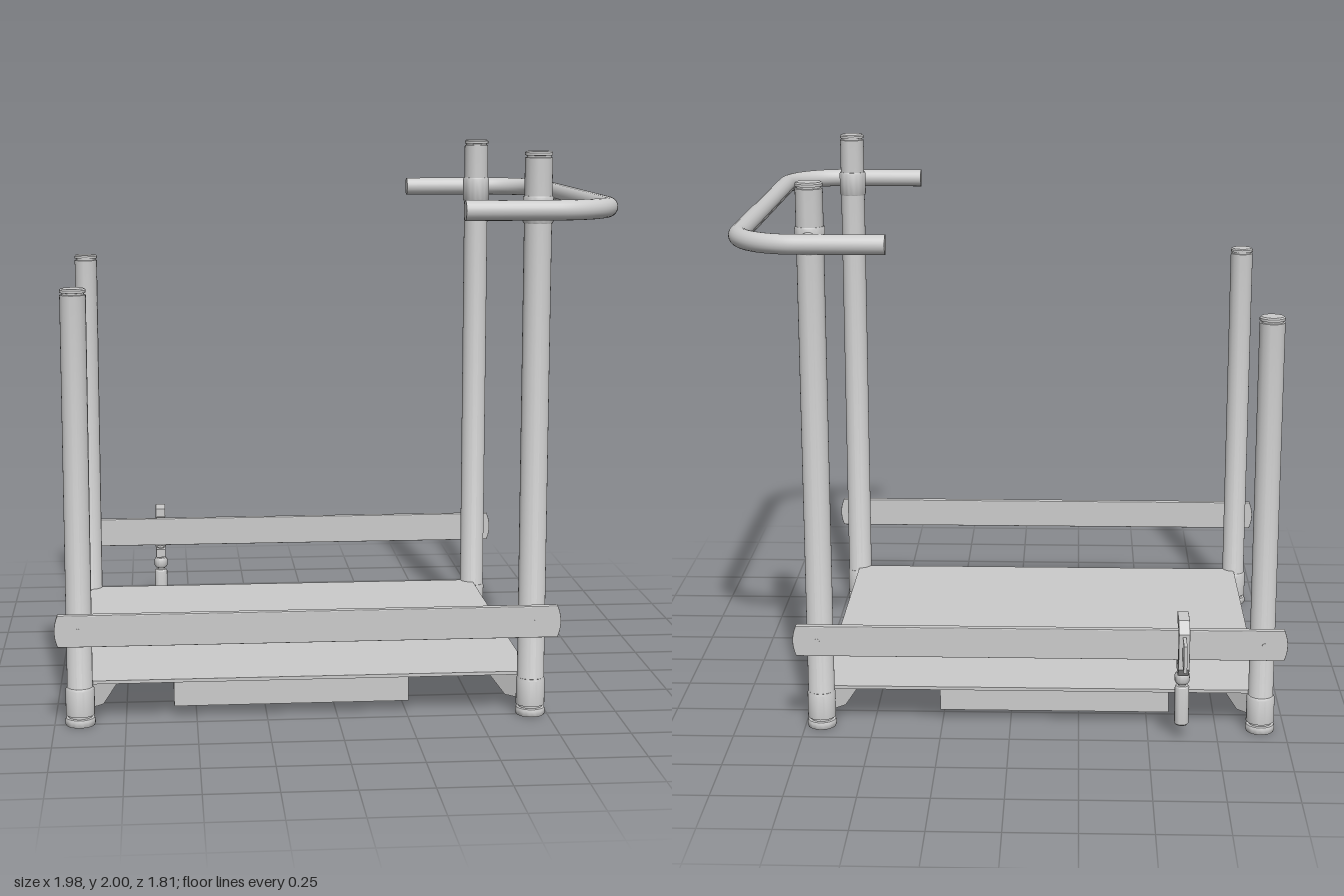
import * as THREE from 'three';
import { toCreasedNormals } from 'three/addons/utils/BufferGeometryUtils.js';

const material = new THREE.MeshStandardMaterial({ color: 0xcccccc });
const backZ = -0.635, frontZ = 0.745, leftX = 0.69, rightX = -0.91;

function add(parent, name, geometry, x = 0, y = 0, z = 0) {
  const mesh = new THREE.Mesh(geometry, material);
  mesh.name = name;
  mesh.position.set(x, y, z);
  parent.add(mesh);
  return mesh;
}

// Turned part from [radius, height] pairs, with sharp edges kept
function turned(points) {
  const profile = points.map(([r, y]) => new THREE.Vector2(r, y));
  return toCreasedNormals(new THREE.LatheGeometry(profile, 32), 0.6);
}

function polygon(points) {
  return new THREE.Shape(points.map(([x, y]) => new THREE.Vector2(x, y)));
}

function extrude(shape, depth, bevel = 0) {
  const g = new THREE.ExtrudeGeometry(shape, {
    depth: depth - 2 * bevel, bevelEnabled: bevel > 0, bevelSize: bevel,
    bevelOffset: -bevel, bevelThickness: bevel, bevelSegments: 2, curveSegments: 10,
  });
  return g.translate(0, 0, -depth / 2 + bevel);
}

// Upright with levelling foot, socket and end cap
function post(height, radius) {
  return turned([
    [0, 0], [0.05, 0], [0.053, 0.006], [0.053, 0.02], [0.05, 0.027], [0.042, 0.029], [0.042, 0.036],
    [0.051, 0.038], [0.051, 0.13], [0.047, 0.137], [radius, 0.138],
    [radius, height - 0.022], [radius - 0.006, height - 0.021], [radius - 0.006, height - 0.015],
    [radius, height - 0.014], [radius, height - 0.005], [radius - 0.005, height], [0, height],
  ]);
}

// Side rail with bowed ends, standoffs and screws; side is +1 at the front, -1 at the back
function sideRail(side) {
  const rail = new THREE.Group();
  rail.name = side > 0 ? 'frontRail' : 'backRail';
  const postZ = side > 0 ? frontZ : backZ;
  const z = postZ + side * 0.09;
  const s = new THREE.Shape();
  s.moveTo(-0.98, 0.307);
  s.lineTo(0.765, 0.307);
  s.quadraticCurveTo(0.789, 0.363, 0.765, 0.42);
  s.lineTo(-0.98, 0.42);
  s.quadraticCurveTo(-1.004, 0.363, -0.98, 0.307);
  add(rail, 'railBar', extrude(s, 0.026, 0.003), 0, 0, z);
  for (const x of [rightX, leftX]) {
    const standoff = new THREE.CylinderGeometry(0.025, 0.025, 0.085, 24).rotateX(Math.PI / 2);
    add(rail, 'railStandoff', standoff, x, 0.363, postZ + side * 0.04);
    const flange = new THREE.CylinderGeometry(0.038, 0.038, 0.012, 24).rotateX(Math.PI / 2);
    add(rail, 'railFlange', flange, x, 0.363, z - side * 0.016);
    const screw = new THREE.CylinderGeometry(0.01, 0.01, 0.006, 16).rotateX(Math.PI / 2);
    add(rail, 'railScrew', screw, x, 0.363, z + side * 0.011);
  }
  return rail;
}

// U-shaped push handle, bent in the horizontal plane
function pushHandle() {
  const handle = new THREE.Group();
  handle.name = 'pushHandle';
  const y = 1.805, zb = -0.768, zf = 0.87, x = 0.95, r = 0.22, k = r * 0.448;
  const v = (a, b) => new THREE.Vector3(a, y, b);
  const path = new THREE.CurvePath();
  path.add(new THREE.LineCurve3(v(0.42, zb), v(x - r, zb)));
  path.add(new THREE.CubicBezierCurve3(v(x - r, zb), v(x - k, zb), v(x, zb + k), v(x, zb + r)));
  path.add(new THREE.LineCurve3(v(x, zb + r), v(x, zf - r)));
  path.add(new THREE.CubicBezierCurve3(v(x, zf - r), v(x, zf - k), v(x - k, zf), v(x - r, zf)));
  path.add(new THREE.LineCurve3(v(x - r, zf), v(0.42, zf)));
  add(handle, 'handleTube', new THREE.TubeGeometry(path, 140, 0.035, 20));
  for (const [z, side] of [[zb, -1], [zf, 1]]) {
    const cap = new THREE.CylinderGeometry(0.035, 0.035, 0.004, 20).rotateZ(Math.PI / 2);
    add(handle, 'handleEnd', cap, 0.42, y, z);
    const stub = new THREE.CylinderGeometry(0.028, 0.028, 0.12, 24).rotateX(Math.PI / 2);
    add(handle, 'handleStub', stub, leftX, y, z - side * 0.06);
    const collar = turned([[0.046, 0], [0.05, 0], [0.053, 0.006], [0.053, 0.088], [0.05, 0.094], [0.046, 0.094]]);
    add(handle, 'handleCollar', collar, leftX, 1.753, side > 0 ? frontZ : backZ);
  }
  return handle;
}

// C-shaped clamp hooked over the back rail, with its tightening screw
function railClamp() {
  const clamp = new THREE.Group();
  clamp.name = 'railClamp';
  clamp.position.x = -0.62;
  // Outline as [distance behind centre, height]
  const jaw = polygon([
    [0.675, 0.47], [0.775, 0.47], [0.815, 0.432], [0.815, 0.3], [0.775, 0.262], [0.68, 0.262],
    [0.68, 0.295], [0.75, 0.295], [0.78, 0.322], [0.78, 0.41], [0.75, 0.435], [0.675, 0.435],
  ]);
  add(clamp, 'clampJaw', extrude(jaw, 0.04, 0.003).rotateY(Math.PI / 2));
  add(clamp, 'clampTongue', new THREE.BoxGeometry(0.012, 0.1, 0.095), 0, 0.372, -0.858);
  const screw = turned([
    [0, 0.055], [0.022, 0.055], [0.026, 0.06], [0.026, 0.198], [0.022, 0.204], [0.014, 0.205],
    [0.014, 0.212], [0.022, 0.213], [0.027, 0.222], [0.027, 0.245], [0.022, 0.254],
    [0.014, 0.255], [0.014, 0.3], [0.022, 0.301], [0.022, 0.308], [0, 0.308],
  ]);
  add(clamp, 'clampScrew', screw, 0, 0, -0.717);
  return clamp;
}

export function createModel() {
  const model = new THREE.Group();
  model.name = 'trolley';

  // Four uprights, each with a diagonal gusset under the deck
  const gusset = polygon([[0.04, 0.142], [0.19, 0.142], [0.19, 0.125], [0.105, 0.05], [0.04, 0.05]]);
  for (const x of [rightX, leftX]) {
    for (const z of [backZ, frontZ]) {
      const tall = x > 0;
      add(model, tall ? 'tallPost' : 'shortPost', post(tall ? 2 : 1.54, tall ? 0.048 : 0.045), x, 0, z);
      const fin = add(model, 'gusset', extrude(gusset, 0.014), x, 0, z);
      fin.rotation.y = Math.atan2(Math.sign(z), -Math.sign(x));
      fin.rotation.y = Math.atan2(z > 0 ? 1 : -1, x > 0 ? -1 : 1);
    }
  }

  // Deck and the box slung beneath it
  add(model, 'deck', new THREE.BoxGeometry(1.6, 0.012, 1.365), -0.11, 0.146, 0.05);
  add(model, 'underBox', new THREE.BoxGeometry(0.84, 0.104, 1.255), -0.16, 0.09, 0.055);

  model.add(sideRail(1), sideRail(-1), pushHandle(), railClamp());
  return model;
}
